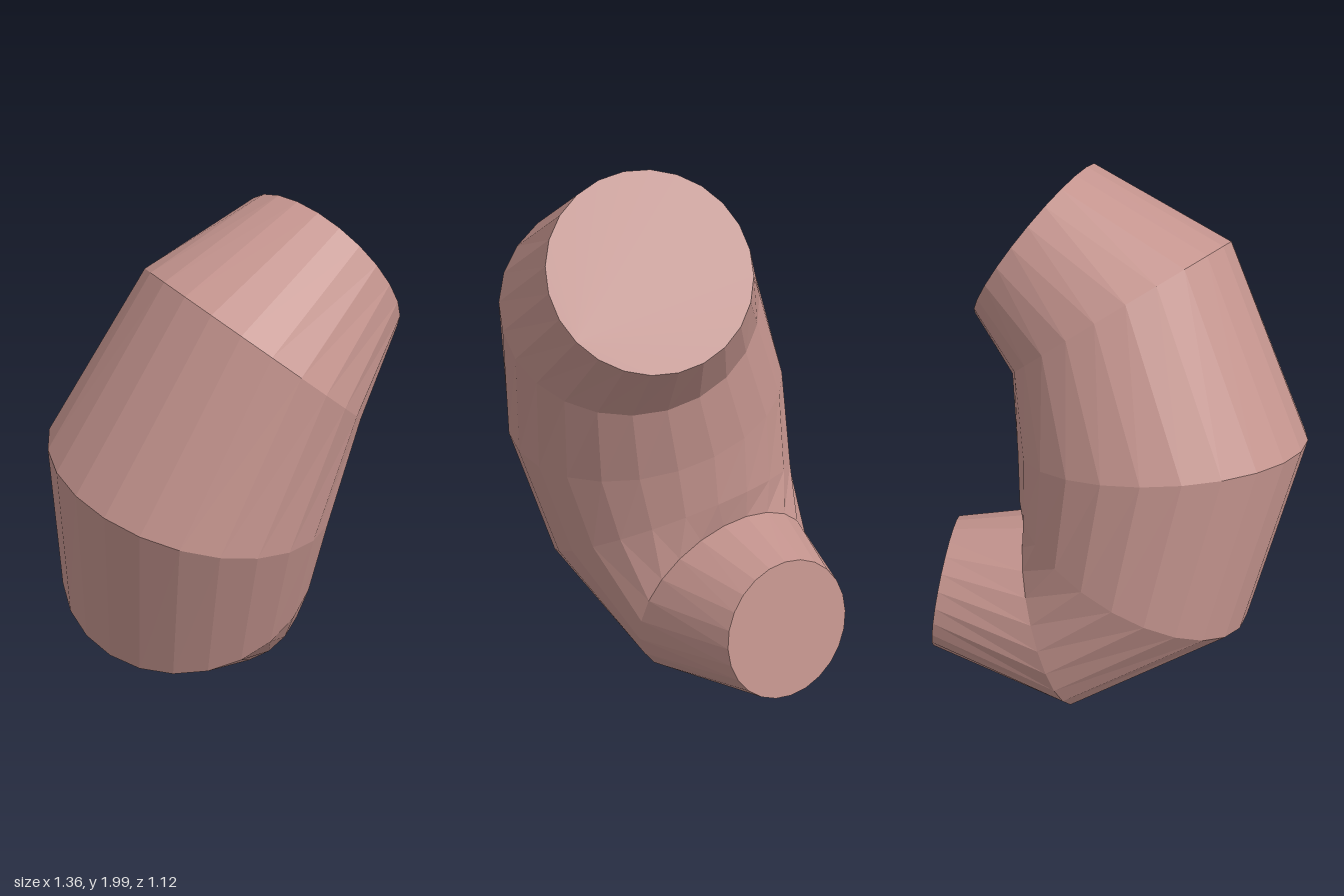
import * as THREE from 'three';

const SIDES = 24;

// Rings along the bent body: centre, normal, radius (bottom end to top end)
const RINGS = [
  { c: [0.63, 0.44, -0.20], n: [-0.98, -0.16, 0.12], r: 0.253 },
  { c: [0.21, 0.37, -0.17], n: [-0.95, 0.28, 0.16], r: 0.38 },
  { c: [-0.085, 0.62, -0.085], n: [-0.43, 0.88, 0.18], r: 0.48 },
  { c: [-0.16, 1.07, 0.00], n: [0.11, 0.96, 0.25], r: 0.52 },
  { c: [0.02, 1.515, 0.13], n: [0.59, 0.76, 0.27], r: 0.45 },
  { c: [0.345, 1.715, 0.193], n: [0.83, 0.54, 0.17], r: 0.337 },
];

// Points of every ring, with the frame carried along so the sides do not twist
function ringPoints() {
  const u = new THREE.Vector3(0, 0, 1);
  let last = null;
  return RINGS.map(({ c, n, r }) => {
    const normal = new THREE.Vector3(...n).normalize();
    if (last) u.applyQuaternion(new THREE.Quaternion().setFromUnitVectors(last, normal));
    u.addScaledVector(normal, -u.dot(normal)).normalize();
    const v = normal.clone().cross(u);
    last = normal;
    return Array.from({ length: SIDES }, (_, j) => {
      const a = (j / SIDES) * Math.PI * 2;
      return new THREE.Vector3(...c)
        .addScaledVector(u, r * Math.cos(a))
        .addScaledVector(v, r * Math.sin(a));
    });
  });
}

function meshFrom(name, triangles, material) {
  const geometry = new THREE.BufferGeometry().setFromPoints(triangles);
  geometry.computeVertexNormals();
  const mesh = new THREE.Mesh(geometry, material);
  mesh.name = name;
  return mesh;
}

export function createModel() {
  const group = new THREE.Group();
  group.name = 'bentTube';
  const material = new THREE.MeshStandardMaterial({ color: 0xc4948e, flatShading: true });
  const rings = ringPoints();

  // Tapered, bent wall
  const wall = [];
  for (let i = 0; i < rings.length - 1; i++) {
    for (let j = 0; j < SIDES; j++) {
      const k = (j + 1) % SIDES;
      const a = rings[i][j], b = rings[i][k], c = rings[i + 1][k], d = rings[i + 1][j];
      wall.push(a, b, c, a, c, d);
    }
  }
  group.add(meshFrom('tubeWall', wall, material));

  // Flat end caps
  const cap = (name, ring, flip) => {
    const tris = [];
    for (let j = 1; j < SIDES - 1; j++) {
      tris.push(ring[0], ring[flip ? j + 1 : j], ring[flip ? j : j + 1]);
    }
    group.add(meshFrom(name, tris, material));
  };
  cap('lowerEndCap', rings[0], true);
  cap('upperEndCap', rings[rings.length - 1], false);

  return group;
}
